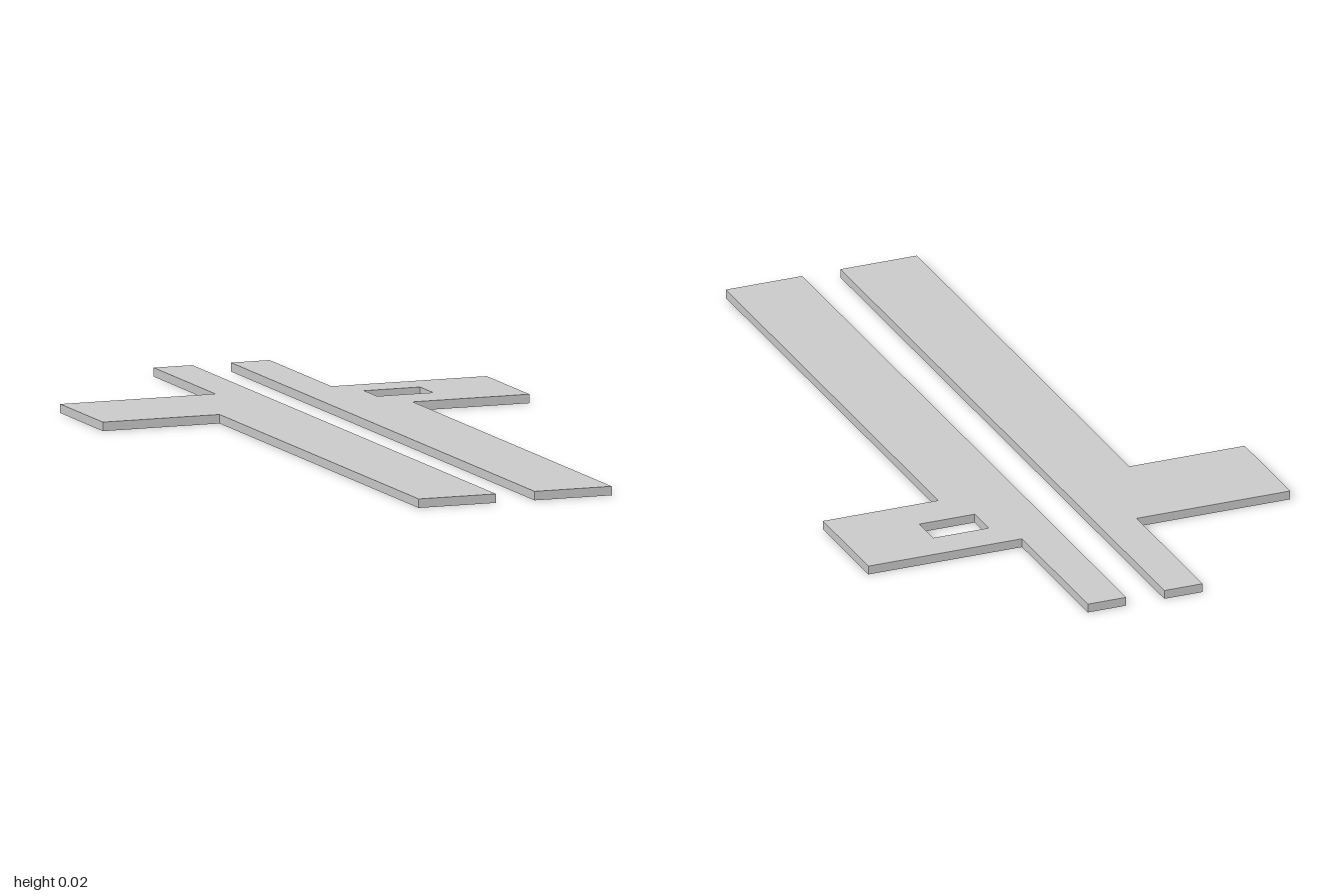
import * as THREE from 'three';

const THICKNESS = 0.022;

// Flat strip with a side wing and a narrow rear tongue; side is +1 (left) or -1 (right)
function makePlate(side, material, slot) {
  const points = (list) => list.map(([x, z]) => new THREE.Vector2(side * x, -z));
  const shape = new THREE.Shape(points([
    [0.05, 1], [0.25, 1], [0.25, -0.312], [0.552, -0.312],
    [0.552, -0.593], [0.15, -0.593], [0.15, -1], [0.05, -1],
  ]));
  if (slot) shape.holes.push(new THREE.Path(points(slot)));
  const geometry = new THREE.ExtrudeGeometry(shape, { depth: THICKNESS, bevelEnabled: false });
  geometry.rotateX(-Math.PI / 2); // lay flat, thickness upward
  return new THREE.Mesh(geometry, material);
}

export function createModel() {
  const group = new THREE.Group();
  group.name = 'slottedPlatePair';
  const material = new THREE.MeshStandardMaterial({ color: 0xcccccc, flatShading: true });

  // Left plate has a rectangular slot through its wing
  const left = makePlate(1, material, [[0.2, -0.505], [0.345, -0.505], [0.345, -0.419], [0.2, -0.419]]);
  left.name = 'leftSlottedPlate';

  // Right plate is the solid mirror image
  const right = makePlate(-1, material);
  right.name = 'rightPlate';

  group.add(left, right);
  return group;
}
